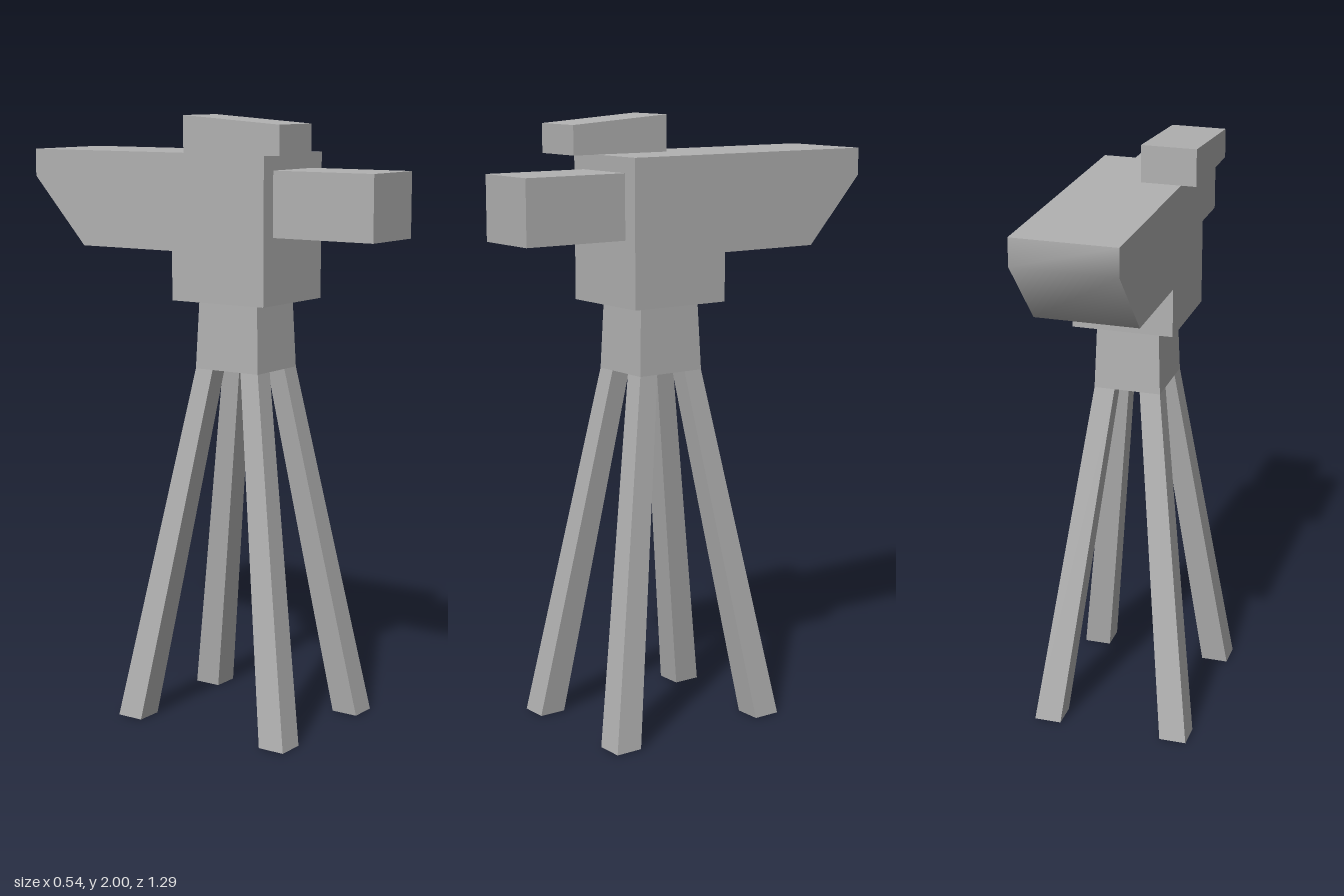
import * as THREE from 'three';
import { toCreasedNormals } from 'three/addons/utils/BufferGeometryUtils.js';

// Four-sided block between two rectangles [x0, x1, z0, z1] at heights y0 and y1
function taperedBlock(y0, bottom, y1, top) {
  const geo = new THREE.BoxGeometry(1, 1, 1);
  const p = geo.attributes.position;
  for (let i = 0; i < p.count; i++) {
    const r = p.getY(i) > 0 ? top : bottom;
    p.setXYZ(i, p.getX(i) > 0 ? r[1] : r[0], p.getY(i) > 0 ? y1 : y0, p.getZ(i) > 0 ? r[3] : r[2]);
  }
  return toCreasedNormals(geo, 0.5);
}

// Side profile of [z, y] points extruded across x0..x1
function sideProfile(points, x0, x1) {
  const shape = new THREE.Shape(points.map(([z, y]) => new THREE.Vector2(-z, y)));
  const geo = new THREE.ExtrudeGeometry(shape, { depth: x1 - x0, bevelEnabled: false });
  geo.rotateY(Math.PI / 2).translate(x0, 0, 0);
  // Wide crease angle keeps the sloped underside smooth and square corners sharp
  return toCreasedNormals(geo, 1.0);
}

export function createModel() {
  const model = new THREE.Group();
  const grey = new THREE.MeshStandardMaterial({ color: 0xb2b2b2 });
  const add = (name, geo) => {
    const mesh = new THREE.Mesh(geo, grey);
    mesh.name = name;
    model.add(mesh);
  };

  // Main housing with the sloped rear hood
  add('body', sideProfile([
    [0.28, 1.405], [-0.075, 1.405], [-0.075, 1.565], [-0.44, 1.565],
    [-0.645, 1.79], [-0.645, 1.88], [0.28, 1.88],
  ], -0.168, 0.168));

  // Front barrel
  add('barrel', taperedBlock(1.62, [-0.115, 0.115, 0.27, 0.645], 1.83, [-0.115, 0.115, 0.27, 0.645]));

  // Offset sight on top
  add('sight', sideProfile([[0.37, 1.88], [0.007, 1.88], [0.007, 2], [0.37, 1.975]], -0.217, -0.037));

  // Stand: head block and four splayed legs
  const zc = 0.1;
  add('standHead', taperedBlock(1.18, [-0.112, 0.112, zc - 0.122, zc + 0.122],
    1.405, [-0.104, 0.104, zc - 0.113, zc + 0.113]));

  const span = (s, a, b) => (s > 0 ? [a, b] : [-b, -a]);
  const section = (sx, sz, xa, xb, za, zb) =>
    [...span(sx, xa, xb), ...span(sz, za, zb).map((z) => z + zc)];
  for (const [sx, xName] of [[1, 'Left'], [-1, 'Right']]) {
    for (const [sz, zName] of [[1, 'front'], [-1, 'back']]) {
      add(zName + xName + 'Leg', taperedBlock(
        0, section(sx, sz, 0.178, 0.27, 0.238, 0.33),
        1.18, section(sx, sz, 0.043, 0.112, 0.055, 0.122)));
    }
  }
  return model;
}
